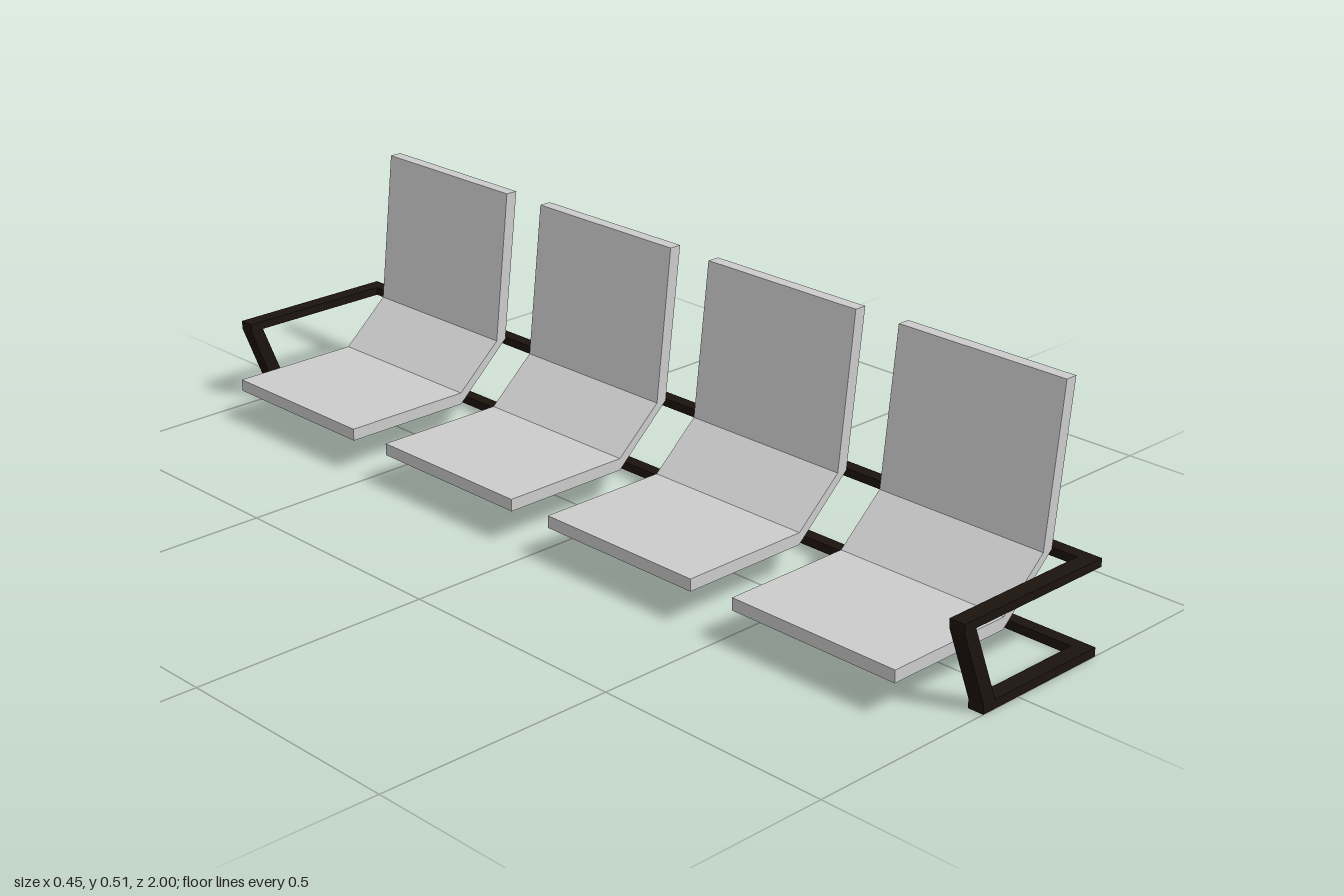
import * as THREE from 'three';

const grey = new THREE.MeshStandardMaterial({ color: 0xcccccc, flatShading: true });
const dark = new THREE.MeshStandardMaterial({ color: 0x1c130e, flatShading: true });

// Side profile in x/y, extruded along z and centred on the given z
function slab(name, points, width, z, material) {
  const shape = new THREE.Shape(points.map(([x, y]) => new THREE.Vector2(x, y)));
  const geometry = new THREE.ExtrudeGeometry(shape, { depth: width, bevelEnabled: false });
  geometry.translate(0, 0, -width / 2);
  const mesh = new THREE.Mesh(geometry, material);
  mesh.name = name;
  mesh.position.z = z;
  return mesh;
}

export function createModel() {
  const model = new THREE.Group();
  model.name = 'benchSeating';

  // Four bent seat shells: flat seat, sloped lumbar section, upright back
  const seatProfile = [
    [-0.225, 0.075], [0.062, 0.075], [0.188, 0.189], [0.225, 0.507],
    [0.199, 0.507], [0.164, 0.19], [0.062, 0.1], [-0.225, 0.1],
  ];
  for (let i = 0; i < 4; i++) {
    model.add(slab('seat' + (i + 1), seatProfile, 0.379, (i - 1.5) * 0.4825, grey));
  }

  // End frames: armrest, slanted upright and foot as one open bracket
  const frameProfile = [
    [0.217, 0], [0.217, 0.018], [-0.062, 0.018], [-0.125, 0.175],
    [0.217, 0.175], [0.217, 0.192], [-0.155, 0.192], [-0.155, 0.175],
    [-0.093, 0.018], [-0.093, 0],
  ];
  const endWidth = 0.033;
  for (const side of [-1, 1]) {
    const name = side > 0 ? 'frontEndFrame' : 'backEndFrame';
    model.add(slab(name, frameProfile, endWidth, side * (1 - endWidth / 2), dark));
  }

  // Long rails joining the end frames
  for (const [name, y0, y1] of [['lowerRail', 0, 0.018], ['upperRail', 0.175, 0.192]]) {
    const rail = new THREE.Mesh(new THREE.BoxGeometry(0.027, y1 - y0, 2 - 2 * endWidth), dark);
    rail.name = name;
    rail.position.set(0.2035, (y0 + y1) / 2, 0);
    model.add(rail);
  }

  return model;
}
